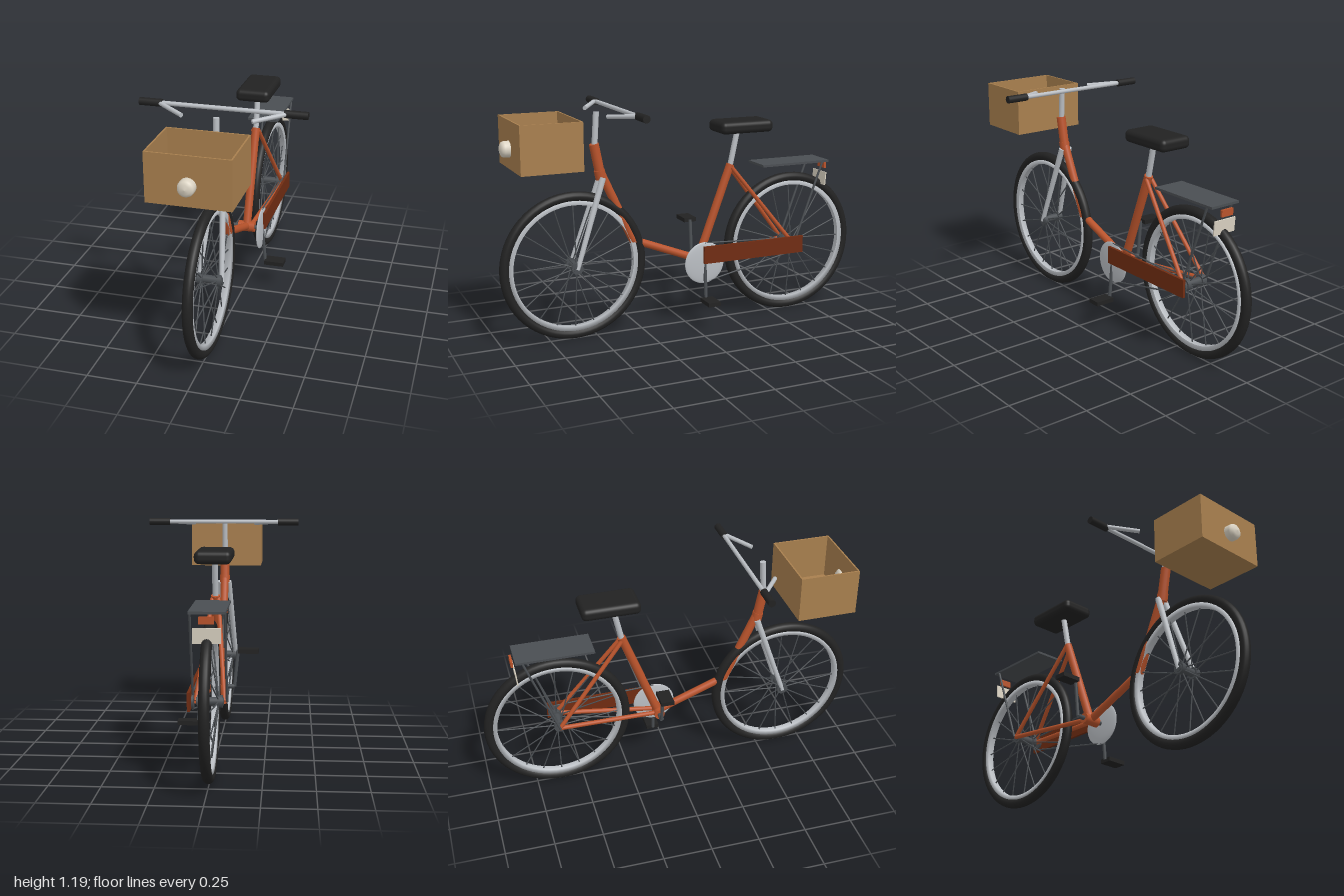
import * as THREE from 'three';
import { RoundedBoxGeometry } from 'three/addons/geometries/RoundedBoxGeometry.js';
import { mergeGeometries } from 'three/addons/utils/BufferGeometryUtils.js';

const paint = (name, color, side = THREE.FrontSide) => {
  const m = new THREE.MeshStandardMaterial({ color, side });
  m.name = name;
  return m;
};
const MAT = {
  orange: paint('orange frame', 0xb9532b),
  brown: paint('rust brown', 0x702c12),
  black: paint('black rubber', 0x222222),
  silver: paint('silver metal', 0xbabec3),
  grey: paint('dark grey metal', 0x4a4e52),
  tan: paint('tan basket', 0xa87f4e),
  cream: paint('cream', 0xdcd4c4),
};
const V = (x, y, z) => new THREE.Vector3(x, y, z);

// cylinder geometry running between two points
function rodGeometry(a, b, r, r2 = r, sides = 16) {
  const dir = b.clone().sub(a);
  const g = new THREE.CylinderGeometry(r2, r, dir.length(), sides);
  g.applyQuaternion(new THREE.Quaternion().setFromUnitVectors(V(0, 1, 0), dir.normalize()));
  const mid = a.clone().add(b).multiplyScalar(0.5);
  return g.translate(mid.x, mid.y, mid.z);
}

export function createModel() {
  const bike = new THREE.Group();
  bike.name = 'bicycle';
  const add = (name, geometry, material, parent = bike) => {
    const mesh = new THREE.Mesh(geometry, material);
    mesh.name = name;
    parent.add(mesh);
    return mesh;
  };
  const rod = (name, a, b, r, material, r2 = r) => add(name, rodGeometry(a, b, r, r2), material);
  const box = (name, w, h, d, x, y, z, material) =>
    add(name, new THREE.BoxGeometry(w, h, d).translate(x, y, z), material);

  const axleY = 0.388, axleZ = 0.615;
  const bracket = V(0, 0.345, -0.075);
  const seatTop = V(0, 0.845, -0.262);
  const bend = V(0, 0.49, 0.295);

  // wheels: tyre, rim band, hub with flanges, alternating spokes
  function wheel(name, z) {
    const g = new THREE.Group();
    g.name = name;
    g.position.set(0, axleY, z);
    bike.add(g);
    add('tyre', new THREE.TorusGeometry(0.36, 0.025, 16, 64).rotateY(Math.PI / 2), MAT.black, g);
    const band = [[0.318, -0.016], [0.34, -0.02], [0.34, 0.02], [0.318, 0.016], [0.318, -0.016]]
      .map(([r, x]) => new THREE.Vector2(r, x));
    add('rim', new THREE.LatheGeometry(band, 64).rotateZ(Math.PI / 2), MAT.silver, g);
    add('hub', rodGeometry(V(-0.065, 0, 0), V(0.065, 0, 0), 0.02), MAT.grey, g);
    const spokes = [];
    for (const s of [-1, 1])
      add('hubFlange', rodGeometry(V(s * 0.034, 0, 0), V(s * 0.06, 0, 0), 0.03), MAT.grey, g);
    for (let i = 0; i < 20; i++) {
      const a = i * Math.PI / 10, x = i % 2 ? 0.04 : -0.04;
      const c = Math.cos(a), s = Math.sin(a);
      spokes.push(rodGeometry(V(x, 0.02 * s, 0.02 * c), V(0, 0.322 * s, 0.322 * c), 0.0035, 0.0035, 6));
    }
    add('spokes', mergeGeometries(spokes), MAT.grey, g);
  }
  wheel('frontWheel', axleZ);
  wheel('rearWheel', -axleZ);

  // frame
  rod('headTube', V(0, 0.84, 0.465), V(0, 1.005, 0.497), 0.025, MAT.orange);
  rod('headLug', V(0, 0.825, 0.462), V(0, 0.87, 0.471), 0.028, MAT.orange);
  rod('upperDownTube', V(0, 0.86, 0.465), bend, 0.022, MAT.orange);
  rod('lowerDownTube', bend, bracket, 0.02, MAT.orange);
  add('downTubeJoint', new THREE.SphereGeometry(0.0215, 16, 12).translate(bend.x, bend.y, bend.z), MAT.orange);
  rod('seatTube', bracket, seatTop, 0.022, MAT.orange);
  rod('bottomBracket', V(-0.045, 0.345, -0.075), V(0.045, 0.345, -0.075), 0.028, MAT.orange);
  for (const s of [-1, 1]) {
    const dropout = V(s * 0.068, axleY, -axleZ);
    rod('chainStay', V(s * 0.02, 0.345, -0.09), dropout, 0.012, MAT.orange);
    rod('seatStay', V(s * 0.015, 0.83, -0.262), dropout, 0.011, MAT.orange);
    rod('forkBlade', V(s * 0.058, axleY - 0.005, axleZ), V(s * 0.023, 0.835, 0.46), 0.012, MAT.silver, 0.016);
  }

  // seat
  rod('seatPost', seatTop, V(0, 1.03, -0.302), 0.015, MAT.silver);
  add('saddle', new RoundedBoxGeometry(0.18, 0.064, 0.3, 4, 0.025).translate(0, 1.048, -0.322), MAT.black);

  // steering
  rod('stem', V(0, 0.99, 0.494), V(0, 1.165, 0.482), 0.015, MAT.silver);
  rod('handlebar', V(-0.32, 1.175, 0.377), V(0.32, 1.175, 0.377), 0.011, MAT.silver);
  for (const s of [-1, 1]) {
    rod('grip', V(s * 0.298, 1.175, 0.377), V(s * 0.412, 1.175, 0.377), 0.019, MAT.black);
    rod('brakeLever', V(s * 0.31, 1.176, 0.383), V(s * 0.17, 1.162, 0.483), 0.011, MAT.silver);
  }

  // open basket: floor and four walls
  box('basketFloor', 0.4, 0.01, 0.31, 0, 0.915, 0.77, MAT.tan);
  for (const s of [-1, 1]) {
    box('basketSide', 0.008, 0.24, 0.31, s * 0.196, 1.03, 0.77, MAT.tan);
    box('basketEnd', 0.39, 0.24, 0.008, 0, 1.03, 0.77 + s * 0.151, MAT.tan);
  }

  // headlamp
  const lamp = [[0, -0.03], [0.028, -0.025], [0.04, -0.01], [0.04, 0.026], [0.036, 0.038], [0.022, 0.046], [0, 0.05]]
    .map(([r, y]) => new THREE.Vector2(r, y));
  add('headlamp', new THREE.LatheGeometry(lamp, 32).rotateX(Math.PI / 2).translate(0, 1.01, 0.925), MAT.cream);

  // drivetrain
  add('chainring', new THREE.SphereGeometry(1, 40, 20).scale(0.012, 0.112, 0.112)
    .translate(0.082, 0.345, -0.075), MAT.silver);
  rod('crankAxle', V(-0.085, 0.345, -0.075), V(0.09, 0.345, -0.075), 0.012, MAT.grey);
  rod('upperChain', V(0.082, 0.452, -0.075), V(0.082, 0.425, -axleZ), 0.004, MAT.grey);
  rod('lowerChain', V(0.082, 0.238, -0.075), V(0.082, 0.35, -axleZ), 0.004, MAT.grey);
  rod('sprocket', V(0.076, axleY, -axleZ), V(0.086, axleY, -axleZ), 0.038, MAT.grey);
  box('chainGuard', 0.014, 0.092, 0.59, 0.099, 0.39, -0.36, MAT.brown);
  for (const s of [-1, 1]) {
    const y = 0.345 - s * 0.192;
    rod('crankArm', V(s * 0.086, 0.345, -0.075), V(s * 0.104, y, -0.075), 0.009, MAT.grey);
    box('pedal', 0.105, 0.022, 0.068, s * 0.158, y - 0.002, -0.076, MAT.black);
  }

  // luggage rack
  box('rackPlate', 0.17, 0.012, 0.4, 0, 0.834, -0.615, MAT.grey);
  for (const s of [-1, 1])
    rod('rackStrut', V(s * 0.08, 0.832, -0.78), V(s * 0.08, axleY, -axleZ), 0.006, MAT.grey);
  box('rearReflector', 0.07, 0.034, 0.012, 0, 0.802, -0.826, MAT.orange);
  const plate = box('rearPlate', 0.13, 0.072, 0.006, 0, 0, 0, MAT.cream);
  plate.position.set(0, 0.731, -0.812);
  plate.rotation.x = -0.08;

  return bike;
}
